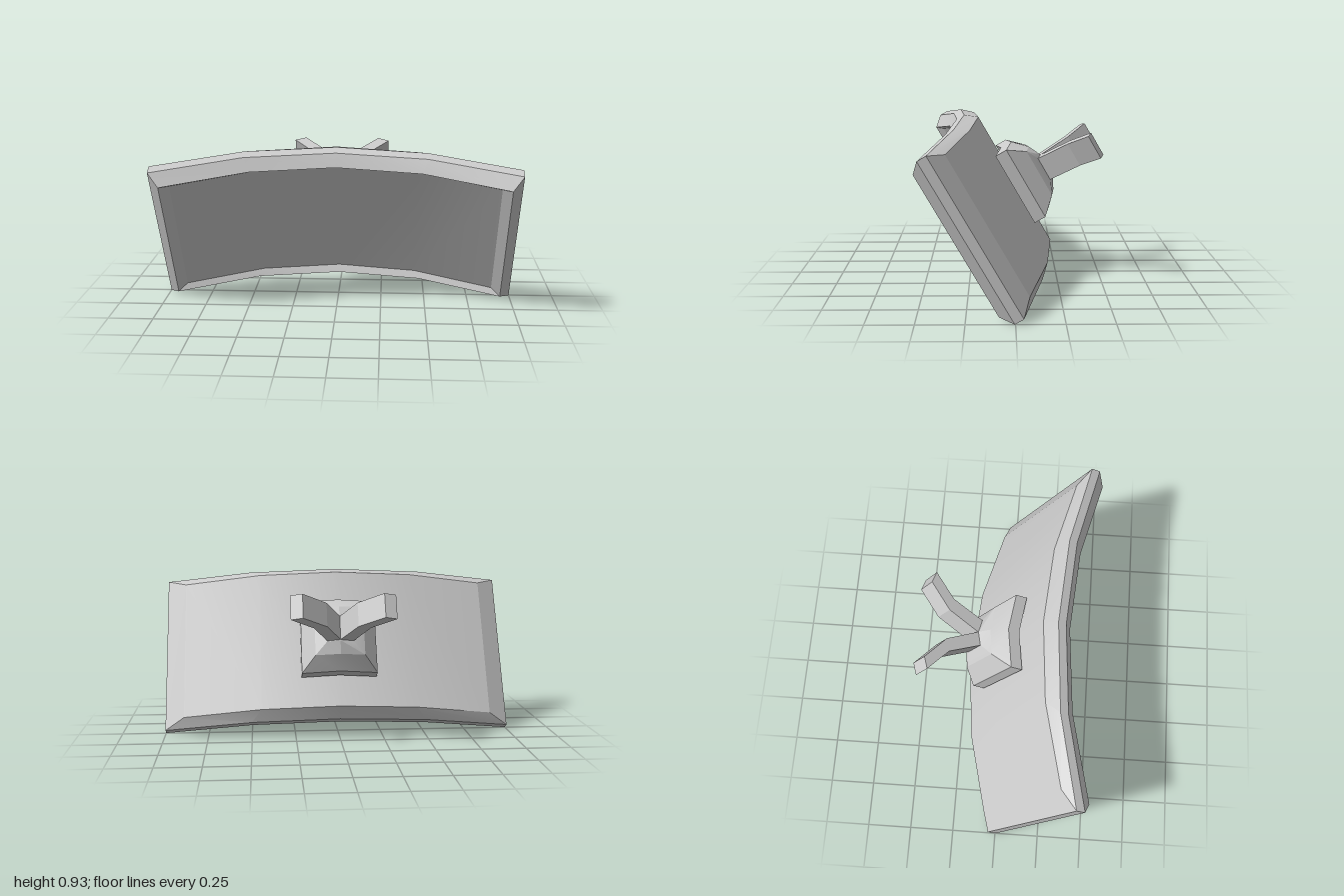
import * as THREE from 'three';
import { toCreasedNormals } from 'three/addons/utils/BufferGeometryUtils.js';

const material = new THREE.MeshStandardMaterial({ color: 0xcccccc });

// Closed solid from bowed rectangular rings, listed front to back.
// Each ring: [half width, bottom, top, z at the middle, forward bow at the ends]
function bowedSolid(rings, segments) {
  const n = segments + 1;
  const loops = rings.map(([w, bottom, top, z, bow]) => {
    const row = (y) => Array.from({ length: n }, (_, i) => {
      const s = (i / segments) * 2 - 1;
      return [s * w, y, z + bow * s * s];
    });
    return [...row(bottom), ...row(top).reverse()];
  });
  const positions = [];
  const quad = (a, b, c, d) => positions.push(...[a, b, c, a, c, d].flat());
  // walls between neighbouring rings
  for (let r = 0; r < loops.length - 1; r++) {
    const a = loops[r], b = loops[r + 1];
    for (let i = 0; i < 2 * n; i++) {
      const j = (i + 1) % (2 * n);
      quad(a[i], b[i], b[j], a[j]);
    }
  }
  // front and back sheets
  const front = loops[0], back = loops[loops.length - 1];
  for (let i = 0; i < segments; i++) {
    const k = 2 * n - 1 - i;
    quad(front[i], front[i + 1], front[k - 1], front[k]);
    quad(back[i], back[k], back[k - 1], back[i + 1]);
  }
  const geometry = new THREE.BufferGeometry();
  geometry.setAttribute('position', new THREE.Float32BufferAttribute(positions, 3));
  return toCreasedNormals(geometry, 0.24);
}

export function createModel() {
  const model = new THREE.Group();
  model.name = 'curvedPanelOnMount';
  const add = (name, geometry) => {
    const mesh = new THREE.Mesh(geometry, material);
    mesh.name = name;
    model.add(mesh);
  };

  // Curved panel: recessed face, raised rim, bevelled edge, bevelled back
  add('curvedPanel', bowedSolid([
    [0.89, 0.087, 0.866, -0.15, 0.168],
    [0.94, 0.059, 0.893, -0.114, 0.175],
    [1.0, 0.004, 0.946, -0.173, 0.175],
    [1.0, 0.004, 0.946, -0.2225, 0.172],
    [0.89, 0.059, 0.895, -0.287, 0.168],
  ], 4));

  // Faceted mount behind the panel
  add('rearMount', bowedSolid([
    [0.215, 0.237, 0.676, -0.309, 0.034],
    [0.215, 0.237, 0.676, -0.378, 0.034],
    [0.14, 0.312, 0.602, -0.451, 0.017],
    [0.075, 0.38, 0.528, -0.486, 0.019],
  ], 2));

  // Pair of bent prongs: outline as x and distance behind
  const outline = [[0, 0.46], [0.075, 0.467], [0.155, 0.655], [0.285, 0.776],
    [0.22, 0.799], [0.085, 0.676], [0, 0.488]];
  for (const [name, side] of [['leftProng', 1], ['rightProng', -1]]) {
    const shape = new THREE.Shape(outline.map(([x, d]) => new THREE.Vector2(side * x, d)));
    const geometry = new THREE.ExtrudeGeometry(shape, { depth: 0.141, bevelEnabled: false });
    geometry.rotateX(-Math.PI / 2).translate(0, 0.384, 0);
    add(name, geometry);
  }

  // Whole piece leans forward
  model.rotation.x = Math.PI / 6;
  const root = new THREE.Group();
  root.add(model);
  return root;
}
